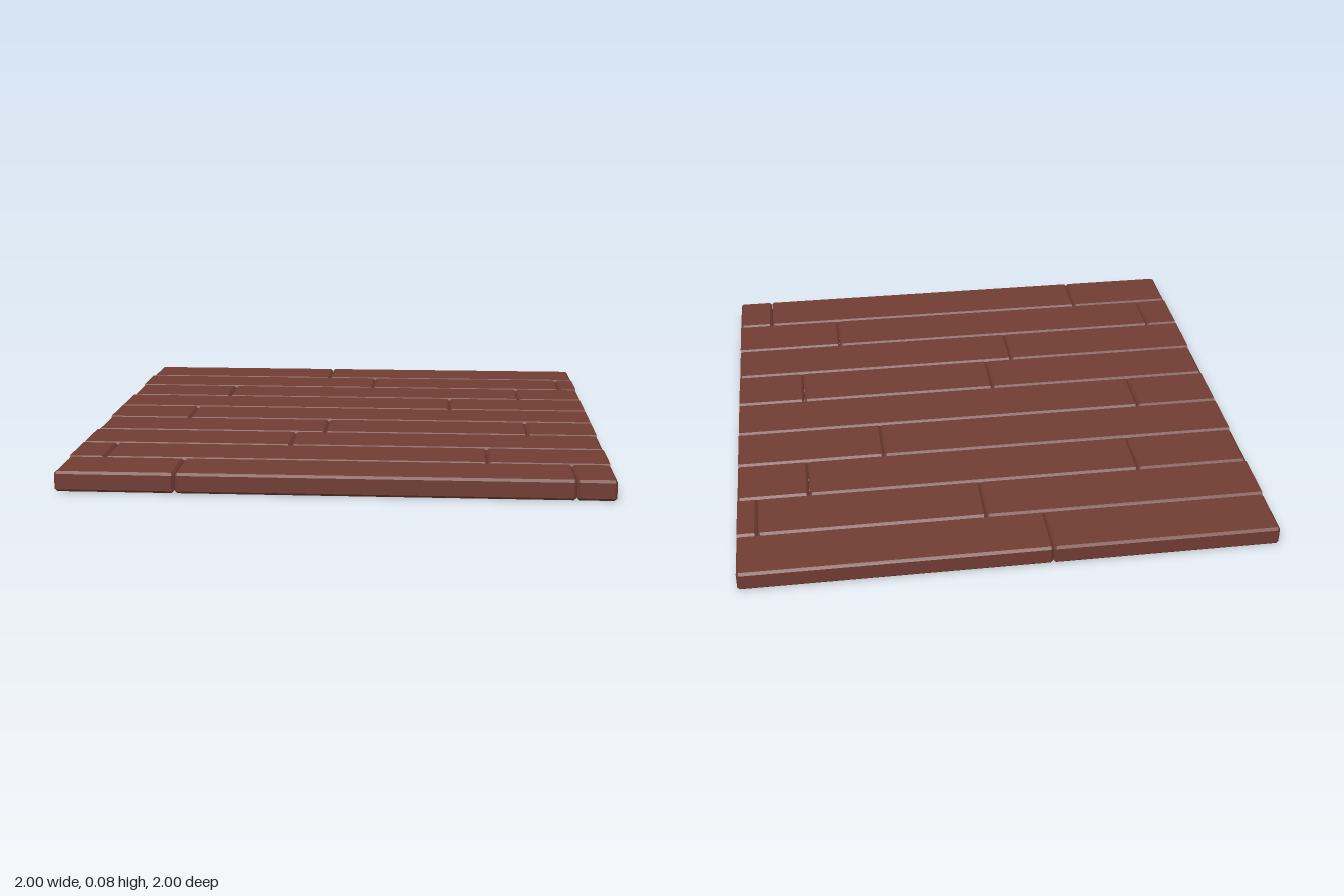
import * as THREE from 'three';

const HEIGHT = 0.075, WIDTH = 2 / 9, BEVEL = 0.009;

// Chamfered plank running from x0 to x1; an end cut at the floor's edge is left hollow.
function plankGeometry(x0, x1, z, capLeft, capRight) {
  const h = HEIGHT / 2, w = WIDTH / 2 - 0.0005, b = BEVEL;

  // Eight-point section, counter-clockwise seen from +x
  const section = (x, inset) => {
    const points = [];
    [[1, 1], [-1, 1], [-1, -1], [1, -1]].forEach(([sy, sz], i) => {
      const flat = [h - inset, w - b];
      const side = [h - b, w - inset];
      const pair = i % 2 ? [side, flat] : [flat, side];
      for (const [y, zz] of pair) points.push(new THREE.Vector3(x, h + sy * y, z + sz * zz));
    });
    return points;
  };

  const rings = [];
  if (capLeft) rings.push(section(x0, b), section(x0 + b, 0));
  else rings.push(section(x0, 0));
  if (capRight) rings.push(section(x1 - b, 0), section(x1, b));
  else rings.push(section(x1, 0));

  const positions = [];
  const triangle = (p, q, r) => {
    if (new THREE.Triangle(p, q, r).getArea() < 1e-9) return;
    for (const v of [p, q, r]) positions.push(v.x, v.y, v.z);
  };

  // Sides and bevels
  for (let k = 0; k < rings.length - 1; k++) {
    const a = rings[k], c = rings[k + 1];
    for (let i = 0; i < 8; i++) {
      const j = (i + 1) % 8;
      triangle(a[i], a[j], c[j]);
      triangle(a[i], c[j], c[i]);
    }
  }
  // End caps
  const first = rings[0], last = rings[rings.length - 1];
  for (let i = 1; i < 7; i++) {
    if (capLeft) triangle(first[0], first[i + 1], first[i]);
    if (capRight) triangle(last[0], last[i], last[i + 1]);
  }

  const geometry = new THREE.BufferGeometry();
  geometry.setAttribute('position', new THREE.Float32BufferAttribute(positions, 3));
  geometry.computeVertexNormals();
  return geometry;
}

export function createModel() {
  const floor = new THREE.Group();
  floor.name = 'plankFloor';
  const wood = new THREE.MeshStandardMaterial({ color: 0x703c32 });

  // Rows from back to front: joints along x, and which outer ends are closed
  const rows = [
    { joints: [-0.147], left: true, right: true },
    { joints: [0.07, 0.925], left: false, right: false },
    { joints: [-0.565, 0.727], left: true, right: true },
    { joints: [0.422], left: false, right: false },
    { joints: [-0.667], left: false, right: false },
    { joints: [-0.08, 0.727], left: true, right: false },
    { joints: [-0.195], left: false, right: true },
    { joints: [-0.867, 0.555], left: false, right: false },
    { joints: [-0.565, 0.858], left: true, right: true },
  ];

  rows.forEach(({ joints, left, right }, r) => {
    const row = new THREE.Group();
    row.name = `plankRow${r + 1}`;
    const z = -1 + (r + 0.5) * WIDTH;
    const ends = [-1, ...joints, 1];
    for (let i = 0; i < ends.length - 1; i++) {
      const isFirst = i === 0, isLast = i === ends.length - 2;
      const plank = new THREE.Mesh(
        plankGeometry(
          ends[i] + (isFirst ? 0 : 0.001), ends[i + 1] - (isLast ? 0 : 0.001), z,
          !isFirst || left, !isLast || right),
        wood);
      plank.name = `plank${i + 1}`;
      row.add(plank);
    }
    floor.add(row);
  });
  return floor;
}
